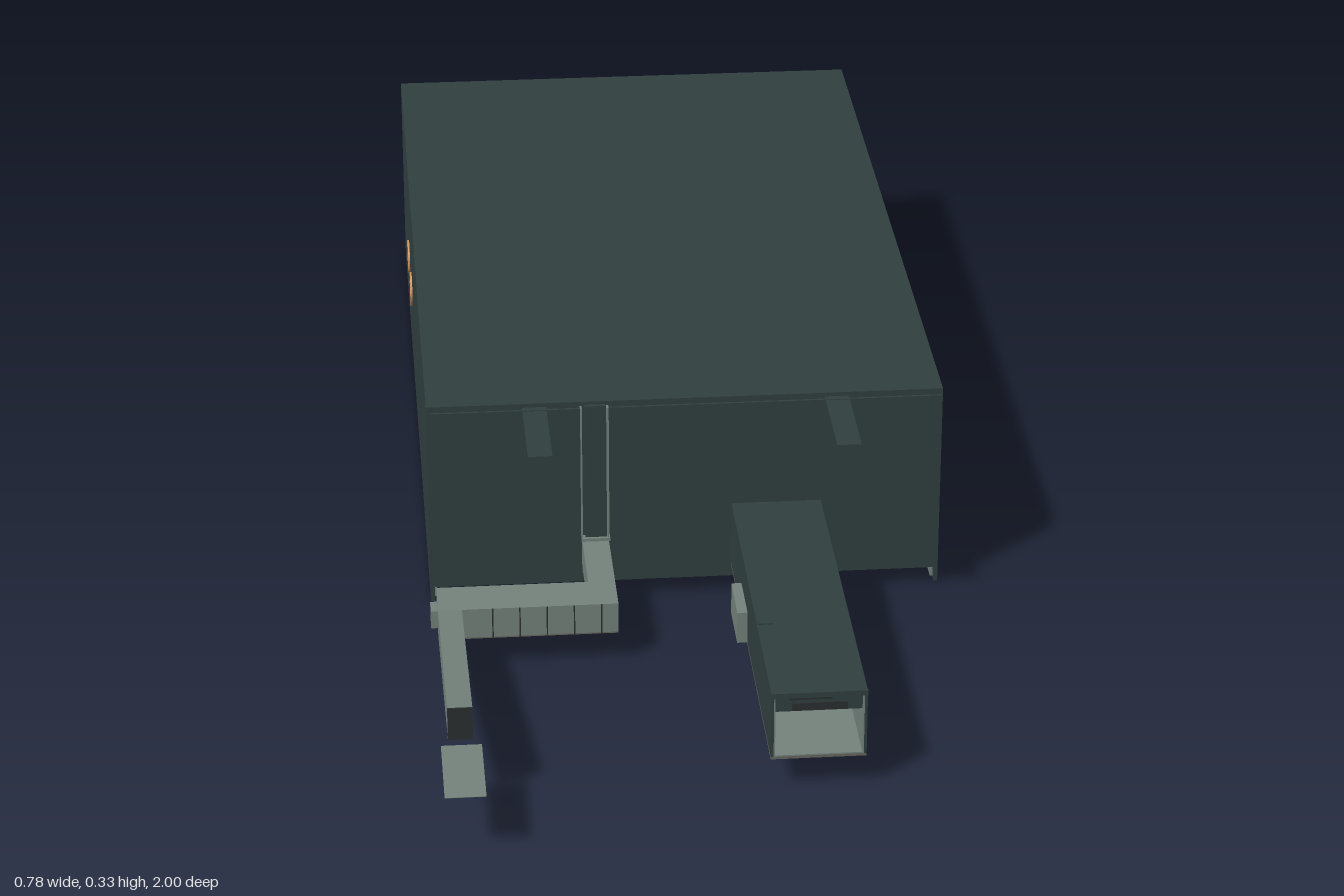
import * as THREE from 'three';

const mat = (name, color) => {
  const m = new THREE.MeshStandardMaterial({ color });
  m.name = name;
  return m;
};

export function createModel() {
  const shell = mat('slate shell', 0x313f3f);
  const pale = mat('pale grey metal', 0x75837d);
  const floorGrey = mat('warm floor grey', 0x69675f);
  const dark = mat('dark grey', 0x2b3031);
  const orange = mat('copper ring', 0xcf935a);
  const model = new THREE.Group();
  model.name = 'processingHall';

  const add = (name, geometry, material, parent = model) => {
    const mesh = new THREE.Mesh(geometry, material);
    mesh.name = name;
    parent.add(mesh);
    return mesh;
  };
  // Box given by its limits on each axis
  const box = (name, material, x0, x1, y0, y1, z0, z1, parent = model) => {
    const mesh = add(name, new THREE.BoxGeometry(x1 - x0, y1 - y0, z1 - z0), material, parent);
    mesh.position.set((x0 + x1) / 2, (y0 + y1) / 2, (z0 + z1) / 2);
    return mesh;
  };
  const group = (name) => {
    const g = new THREE.Group();
    g.name = name;
    model.add(g);
    return g;
  };

  // Hollow hall: roof, dark ceiling, side walls
  const hall = group('hall');
  box('roof', shell, -0.385, 0.388, 0.32, 0.327, -1, 0.272, hall);
  box('ceiling', dark, -0.378, 0.38, 0.314, 0.32, -0.99, 0.262, hall);
  box('rightWall', shell, -0.385, -0.379, 0, 0.32, -1, 0.272, hall);
  box('leftWall', shell, 0.382, 0.388, 0, 0.32, -1, 0.272, hall);
  for (const z of [-0.66, -0.36, -0.06]) box('ceilingSeam', shell, -0.375, 0.378, 0.31, 0.314, z - 0.004, z + 0.004, hall);
  box('ceilingSpine', shell, -0.004, 0.004, 0.31, 0.314, -0.99, 0.262, hall);

  // Inner linings: pale below, slate above
  const lining = group('lining');
  for (const [material, y0, y1] of [[pale, 0.003, 0.225], [shell, 0.225, 0.314]]) {
    box('rightLining', material, -0.379, -0.375, y0, y1, -0.99, 0.262, lining);
    box('leftLining', material, 0.378, 0.382, y0, y1, -0.99, 0.262, lining);
    box('frontLining', material, -0.375, 0.378, Math.max(y0, 0.033), y1, 0.256, 0.262, lining);
  }
  box('sideLedge', pale, -0.375, -0.36, 0.035, 0.11, -0.98, 0.25, lining);
  for (const x of [-0.13, 0.07]) box('liningPost', dark, x - 0.01, x + 0.01, 0.033, 0.225, 0.25, 0.256, lining);

  // Rear wall with an open window, its right part standing slightly back
  const rear = group('rearWall');
  box('rearLeftPanel', shell, 0.048, 0.382, 0.025, 0.32, -1, -0.993, rear);
  box('rearRightPanel', shell, -0.379, -0.04, 0.03, 0.32, -0.997, -0.99, rear);
  box('panelAboveWindow', shell, -0.04, 0.048, 0.163, 0.32, -0.997, -0.99, rear);
  box('panelBelowWindow', shell, -0.04, 0.048, 0.03, 0.081, -0.997, -0.99, rear);
  box('rearSeam', dark, 0.045, 0.048, 0.163, 0.32, -1, -0.997, rear);

  // Front wall, cladding panels and sill
  const front = group('frontWall');
  box('frontBacking', shell, -0.379, 0.382, 0.04, 0.32, 0.262, 0.27, front);
  box('frontRightPanel', shell, -0.379, -0.157, 0.04, 0.322, 0.281, 0.285, front);
  box('frontLeftPanel', shell, -0.113, 0.385, 0.04, 0.322, 0.281, 0.285, front);
  box('narrowDoor', shell, -0.15, -0.118, 0.102, 0.322, 0.27, 0.278, front);
  for (const x of [-0.157, -0.117]) box('doorFrame', pale, x, x + 0.003, 0.1, 0.32, 0.27, 0.281, front);
  box('doorLintel', pale, -0.157, -0.113, 0.097, 0.102, 0.27, 0.283, front);
  box('frontSill', shell, -0.379, 0.382, 0.025, 0.04, 0.262, 0.275, front);

  // Floor plates at both ends, pale on top, with an open pit between them
  const floor = group('floor');
  for (const [name, z0, z1] of [['rearFloor', -0.99, -0.7], ['frontFloor', 0.11, 0.262]]) {
    box(name + 'Underside', floorGrey, -0.375, 0.378, 0.027, 0.031, z0, z1, floor);
    box(name + 'Top', pale, -0.375, 0.378, 0.031, 0.035, z0, z1, floor);
  }

  // Flat copper rings round the wall ports, dark covers inside
  const ringShape = new THREE.Shape().absarc(0, 0, 0.0285, 0, Math.PI * 2);
  ringShape.holes.push(new THREE.Path().absarc(0, 0, 0.0215, 0, Math.PI * 2, true));
  const ringGeometry = new THREE.ExtrudeGeometry(ringShape, { depth: 0.003, bevelEnabled: false, curveSegments: 16 });
  for (const [outer, inner, zs] of [[0.388, 0.377, [-0.11, -0.238]], [-0.388, -0.374, [-0.525, -0.655]]]) {
    for (const z of zs) {
      const ring = add('portRing', ringGeometry, orange);
      ring.rotation.y = Math.PI / 2;
      ring.position.set(outer, 0.152, z);
      const port = add('portCover', new THREE.CylinderGeometry(0.027, 0.027, 0.004, 24), dark);
      port.rotation.z = Math.PI / 2;
      port.position.set(inner, 0.152, z);
    }
  }

  // Two thin hoist arms under the roof edge
  for (const x of [-0.2245, 0.228]) box('hoistArm', shell, x - 0.018, x + 0.018, 0.317, 0.321, 0.27, 0.433);

  // Hollow loading chute with pale lining and a dark header across its mouth
  const chute = group('chute');
  const z0 = 0.285, z1 = 0.857;
  box('chuteTop', shell, 0.07, 0.205, 0.149, 0.154, z0, z1, chute);
  box('chuteBottom', floorGrey, 0.07, 0.205, 0.049, 0.053, z0, z1, chute);
  box('chuteRightSide', shell, 0.07, 0.074, 0.053, 0.149, z0, z1, chute);
  box('chuteLeftSide', shell, 0.201, 0.205, 0.053, 0.149, z0, z1, chute);
  box('chuteFloorLining', pale, 0.074, 0.201, 0.053, 0.055, z0, z1, chute);
  box('chuteRightLining', pale, 0.074, 0.076, 0.055, 0.149, z0, z1, chute);
  box('chuteLeftLining', pale, 0.199, 0.201, 0.055, 0.149, z0, z1, chute);
  box('chuteEndDoor', shell, 0.076, 0.199, 0.055, 0.149, 0.287, 0.293, chute);
  box('chuteHeader', shell, 0.076, 0.199, 0.121, 0.149, 0.843, 0.849, chute);
  box('chuteHeaderSlot', dark, 0.1, 0.178, 0.123, 0.135, 0.849, 0.852, chute);
  box('chuteHood', shell, 0.07, 0.205, 0.149, 0.157, z1, 0.862, chute);
  box('chuteLamp', dark, 0.095, 0.155, 0.143, 0.149, 0.849, 0.857, chute);
  box('chuteTopBracket', shell, 0.072, 0.092, 0.154, 0.156, 0.62, 0.66, chute);
  box('chuteSideBox', pale, 0.055, 0.07, 0.052, 0.102, 0.44, 0.53, chute);

  // Cranked conveyor: out, sideways, then climbing to a tray
  const conveyor = group('conveyor');
  box('conveyorStart', pale, -0.155, -0.115, 0.05, 0.097, 0.27, 0.478, conveyor);
  box('conveyorStartUnderside', floorGrey, -0.155, -0.115, 0.048, 0.05, 0.27, 0.478, conveyor);
  box('conveyorCross', pale, -0.38, -0.155, 0.05, 0.097, 0.408, 0.478, conveyor);
  box('conveyorCrossUnderside', floorGrey, -0.38, -0.155, 0.048, 0.05, 0.408, 0.478, conveyor);
  for (const x of [-0.3, -0.26, -0.22, -0.18, -0.14]) {
    box('conveyorSeam', dark, x - 0.001, x + 0.001, 0.048, 0.097, 0.478, 0.479, conveyor);
  }
  const climb = new THREE.Shape([[0.478, 0.048], [0.858, 0.105], [0.858, 0.155], [0.478, 0.097]]
    .map(([z, y]) => new THREE.Vector2(-z, y)));
  const ramp = add('conveyorClimb', new THREE.ExtrudeGeometry(climb, { depth: 0.035, bevelEnabled: false }), pale, conveyor);
  ramp.rotation.y = Math.PI / 2;
  ramp.position.x = -0.38;
  box('conveyorEndCap', dark, -0.38, -0.345, 0.105, 0.155, 0.858, 0.86, conveyor);
  for (const t of [0.3, 0.65, 0.9]) {
    const y = 0.049 + 0.056 * t, z = 0.478 + 0.38 * t;
    box('climbSeam', dark, -0.345, -0.344, y, y + 0.048, z - 0.001, z + 0.001, conveyor);
  }
  box('conveyorTray', pale, -0.39, -0.333, 0.097, 0.0973, 0.862, 1, conveyor);
  box('conveyorTrayUnderside', floorGrey, -0.39, -0.333, 0.0967, 0.097, 0.862, 1, conveyor);
  box('conveyorMotor', pale, -0.39, -0.38, 0.058, 0.086, 0.43, 0.46, conveyor);

  return model;
}
